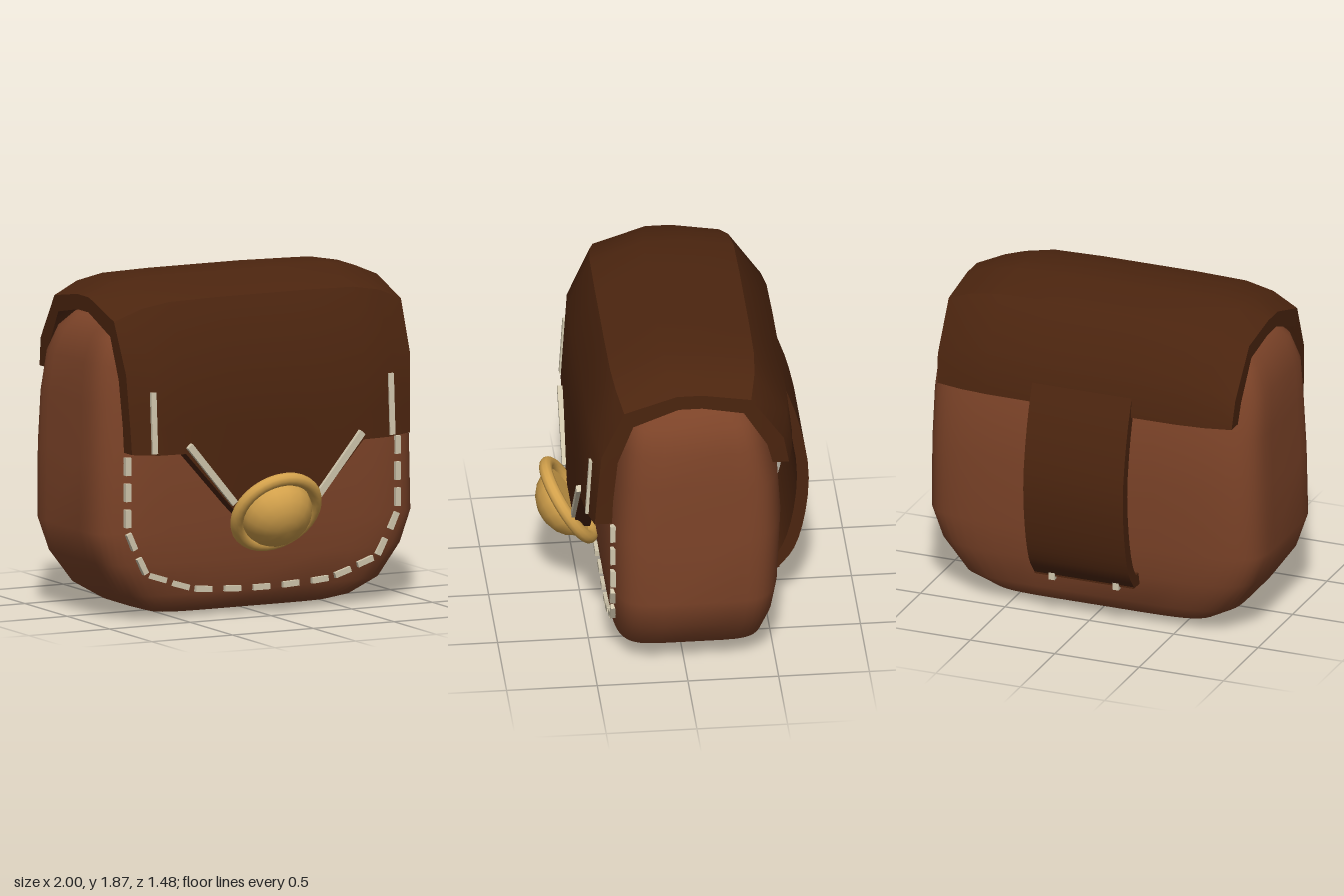
import * as THREE from 'three';
import { toCreasedNormals } from 'three/addons/utils/BufferGeometryUtils.js';

function material(name, color) {
  const m = new THREE.MeshStandardMaterial({ color });
  m.name = name;
  return m;
}

// Joins equal-length closed rings of [x, y, z] points and caps both ends.
function loft(rings) {
  const n = rings[0].length;
  const index = [];
  for (let j = 0; j < rings.length - 1; j++) {
    for (let i = 0; i < n; i++) {
      const k = (i + 1) % n;
      const a = j * n + i, b = j * n + k, c = b + n, d = a + n;
      index.push(a, b, c, a, c, d);
    }
  }
  const top = (rings.length - 1) * n;
  for (let i = 0; i < n / 2 - 1; i++) {
    const a = i, b = i + 1, c = n - 2 - i, d = n - 1 - i;
    index.push(a, c, b, a, d, c);
    index.push(top + a, top + b, top + c, top + a, top + c, top + d);
  }
  const g = new THREE.BufferGeometry();
  g.setAttribute('position', new THREE.Float32BufferAttribute(rings.flat(2), 3));
  g.setIndex(index);
  g.computeVertexNormals();
  return g;
}

// Body levels: height, half width, front z, back z
const LEVELS = [
  [0.005, 0.35, 0.10, -0.18], [0.02, 0.56, 0.22, -0.31], [0.05, 0.66, 0.30, -0.38],
  [0.14, 0.81, 0.375, -0.46], [0.32, 0.94, 0.40, -0.505], [0.5, 1.0, 0.42, -0.53],
  [0.9, 0.99, 0.425, -0.55], [1.2, 0.98, 0.40, -0.53], [1.43, 0.965, 0.38, -0.475],
  [1.57, 0.91, 0.35, -0.43], [1.65, 0.83, 0.28, -0.36], [1.68, 0.72, 0.19, -0.29],
  [1.69, 0.4, 0.05, -0.12],
];
const POWER = 6;

function bodyRing([y, w, zf, zb]) {
  const ring = [];
  const soft = (v) => Math.sign(v) * Math.pow(Math.abs(v), 2 / POWER);
  for (let i = 0; i < 48; i++) {
    const t = ((i + 0.5) / 48) * Math.PI * 2;
    ring.push([w * soft(Math.cos(t)), y, (zf + zb) / 2 - ((zf - zb) / 2) * soft(Math.sin(t))]);
  }
  return ring;
}

// Front surface of the body at (x, y)
function bodyFront(x, y) {
  let k = 0;
  while (k < LEVELS.length - 2 && LEVELS[k + 1][0] < y) k++;
  const a = LEVELS[k], b = LEVELS[k + 1];
  const [, w, zf, zb] = a.map((v, i) => v + ((b[i] - v) * (y - a[0])) / (b[0] - a[0]));
  const s = Math.pow(Math.max(0, 1 - Math.pow(Math.abs(x) / w, POWER)), 1 / POWER);
  return (zf + zb) / 2 + ((zf - zb) / 2) * s;
}

// Flap section from the front hem over the top to the back hem, as [z, y]
const FLAP_OUTER = [[0.55, 0], [0.54, 1.1], [0.515, 1.5], [0.39, 1.78], [0.1, 1.875],
  [-0.14, 1.875], [-0.41, 1.83], [-0.59, 1.57], [-0.62, 1.31]];
const FLAP_INNER = [[0.455, 0], [0.45, 1.1], [0.425, 1.46], [0.34, 1.69], [0.09, 1.79],
  [-0.14, 1.79], [-0.37, 1.745], [-0.5, 1.53], [-0.53, 1.31]];
// Flap columns: x, edge drop, front hem height
const FLAP_COLUMNS = [[0.86, 0.1, 0.96], [0.71, 0.035, 0.95], [0.55, 0.006, 0.95],
  [0.27, 0, 0.63], [0.14, 0, 0.5]];

function flapRing([x, drop, hem]) {
  const place = ([z, y0]) => {
    const y = y0 || hem;
    return [x * (1 + 0.04 * (y - 0.95)), y > 1.4 ? y - drop : y, z - Math.sign(z) * drop * 0.5];
  };
  return [...FLAP_OUTER.map(place), ...FLAP_INNER.map(place).reverse()];
}

export function createModel() {
  const group = new THREE.Group();
  const leather = material('brown leather', 0x7c4328);
  const dark = material('dark leather', 0x4c250f);
  const gold = material('brass', 0xd4a24c);
  const thread = material('cream thread', 0xd0c6ac);

  const add = (name, geometry, mat, parent = group) => {
    const mesh = new THREE.Mesh(geometry, mat);
    mesh.name = name;
    parent.add(mesh);
    return mesh;
  };
  const subgroup = (name) => {
    const g = new THREE.Group();
    g.name = name;
    group.add(g);
    return g;
  };

  add('body', loft(LEVELS.map(bodyRing)), leather);

  // Flap folded over the top, with a pointed front hem
  const columns = [...FLAP_COLUMNS, [0, 0, 0.48],
    ...FLAP_COLUMNS.map(([x, d, h]) => [-x, d, h]).reverse()];
  add('flap', toCreasedNormals(loft(columns.map(flapRing)), 0.65), dark);

  // Bowed strap on the back with its lower anchor
  const arc = new THREE.CatmullRomCurve3([
    [-0.6, 1.44], [-0.68, 1.2], [-0.735, 0.88], [-0.71, 0.58], [-0.65, 0.38], [-0.575, 0.28],
  ].map(([z, y]) => new THREE.Vector3(0, y, z))).getPoints(14);
  const strapRing = (x) => [
    ...arc.map((p) => [x, p.y, p.z]),
    ...arc.map((p) => [x, p.y + 0.02, p.z + 0.065]).reverse(),
  ];
  add('backStrap', toCreasedNormals(loft([strapRing(0.295), strapRing(-0.295)]), 0.6), dark);
  const anchor = add('strapAnchor', new THREE.BoxGeometry(0.59, 0.07, 0.1), dark);
  anchor.position.set(0, 0.305, -0.525);

  // Tilted round clasp
  const clasp = subgroup('clasp');
  clasp.position.set(0, 0.59, 0.56);
  clasp.rotation.x = 0.56;
  add('claspRing', new THREE.TorusGeometry(0.235, 0.036, 10, 32), gold, clasp);
  const dome = new THREE.SphereGeometry(0.205, 16, 5, 0, Math.PI * 2, 0, Math.PI / 2);
  dome.rotateX(Math.PI / 2).scale(1, 1, 0.85);
  add('claspDome', dome, gold, clasp);
  const back = add('claspBack', new THREE.CircleGeometry(0.205, 16), gold, clasp);
  back.rotation.y = Math.PI;

  // Stitches
  const stitches = subgroup('stitching');
  const stitch = (name, x, y, z, length, angle, width = 0.032, depth = 0.03) => {
    const s = add(name, new THREE.BoxGeometry(length, width, depth), thread, stitches);
    s.position.set(x, y, z);
    s.rotation.z = angle;
    return s;
  };
  const bodyStitches = [[0.18, 0.155, 0.05], [0.36, 0.165, 0.08], [0.5, 0.195, 0.3],
    [0.64, 0.245, 0.32], [0.74, 0.32, 1.1], [0.81, 0.46, 1.15],
    [0.835, 0.59, 1.57], [0.835, 0.735, 1.57], [0.835, 0.88, 1.57]];
  stitch('bodyStitch', 0, 0.15, bodyFront(0, 0.15) + 0.005, 0.1, 0);
  for (const side of [-1, 1]) {
    for (const [x, y, angle] of bodyStitches) {
      stitch('bodyStitch', side * x, y, bodyFront(x, y) + 0.008, 0.1, side * angle);
    }
    const upright = stitch('flapSideStitch', side * 0.735, 1.13, 0.515, 0.34, Math.PI / 2);
    upright.rotation.order = 'XYZ';
    upright.rotation.x = -0.06;
    stitch('flapHemStitch', side * 0.395, 0.825, 0.555, 0.44, side * 0.88, 0.038);
    stitch('strapStitch', side * 0.19, 0.275, -0.57, 0.035, 0, 0.05);
  }
  return group;
}
